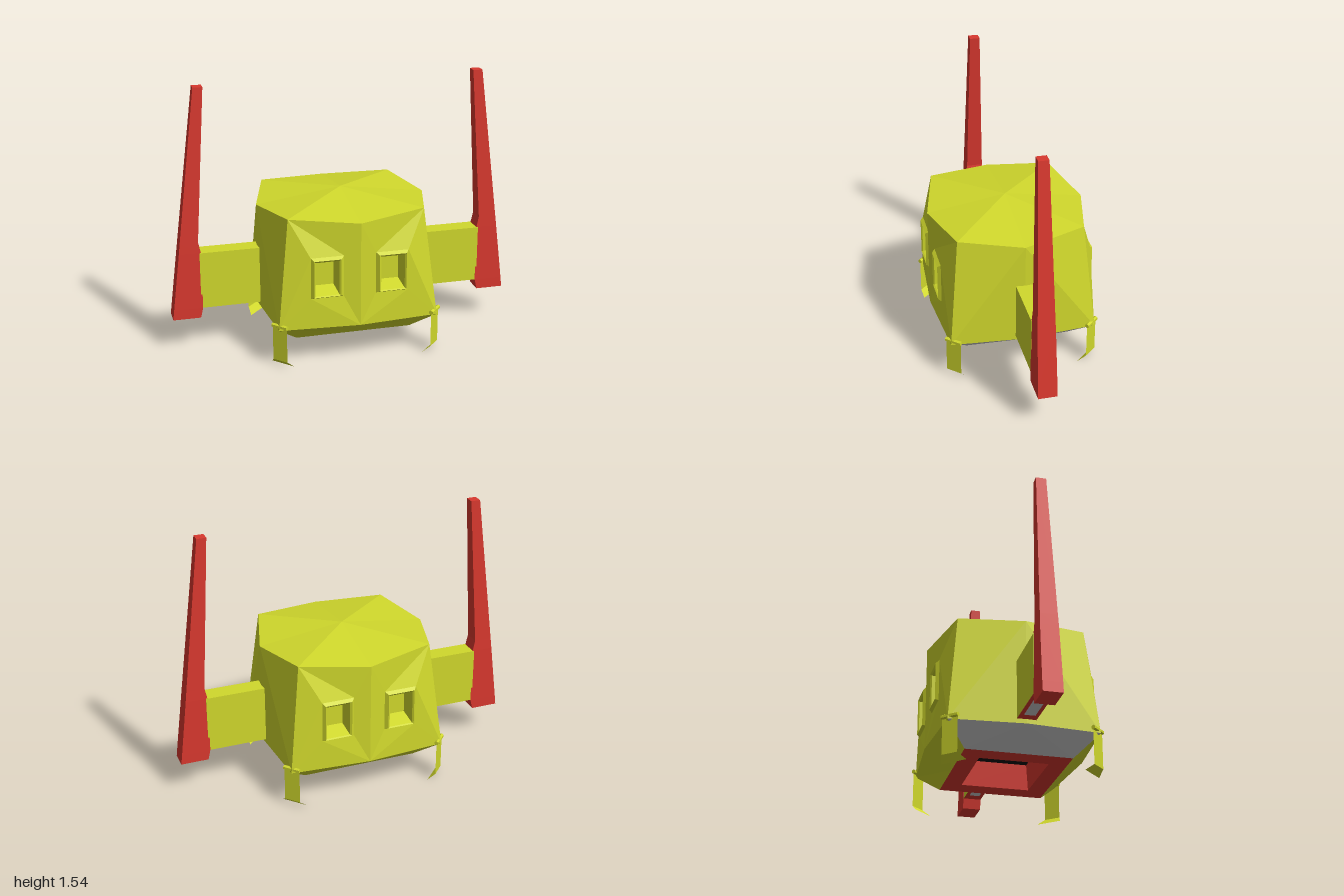
import * as THREE from 'three';
import { mergeGeometries } from 'three/addons/utils/BufferGeometryUtils.js';

const paint = (color) => new THREE.MeshStandardMaterial({ color, flatShading: true, side: THREE.DoubleSide });

// Flat-sided geometry from a list of polygons (each an array of corners)
function polygons(faces) {
  const pos = [];
  for (const f of faces)
    for (let i = 1; i < f.length - 1; i++) pos.push(...f[0], ...f[i], ...f[i + 1]);
  const g = new THREE.BufferGeometry();
  g.setAttribute('position', new THREE.Float32BufferAttribute(pos, 3));
  g.computeVertexNormals();
  return g;
}

// Quads between successive closed loops, with optional end caps
function loft(loops, capStart = false, capEnd = false) {
  const faces = [];
  for (let i = 0; i < loops.length - 1; i++) {
    const a = loops[i], b = loops[i + 1], n = a.length;
    for (let j = 0; j < n; j++) faces.push([a[j], a[(j + 1) % n], b[(j + 1) % n], b[j]]);
  }
  if (capStart) faces.push([...loops[0]].reverse());
  if (capEnd) faces.push(loops[loops.length - 1]);
  return polygons(faces);
}

// Mirrored copy, with the winding put right again
function mirrored(geo, sx, sz) {
  const g = geo.clone().scale(sx, 1, sz);
  if (sx * sz < 0) {
    const p = g.attributes.position;
    for (let i = 0; i < p.count; i += 3) {
      const b = [p.getX(i + 1), p.getY(i + 1), p.getZ(i + 1)];
      p.setXYZ(i + 1, p.getX(i + 2), p.getY(i + 2), p.getZ(i + 2));
      p.setXYZ(i + 2, ...b);
    }
  }
  g.computeVertexNormals();
  return g;
}
const fourWays = (geo) =>
  mergeGeometries([[1, 1], [-1, 1], [1, -1], [-1, -1]].map(([sx, sz]) => mirrored(geo, sx, sz)));

const rectXY = (x0, x1, y0, y1, z) => [[x0, y0, z], [x1, y0, z], [x1, y1, z], [x0, y1, z]];
const rectDown = (x, z, y) => [[x, y, z], [-x, y, z], [-x, y, -z], [x, y, -z]];
const rectUp = (x0, x1, z, y) => [[x1, y, z], [x1, y, -z], [x0, y, -z], [x0, y, z]];

export function createModel() {
  const group = new THREE.Group();
  const yellow = paint(0xd0d82c), red = paint(0xd8382e), grey = paint(0xcccccc), black = paint(0x080808);
  const add = (name, geo, mat) => {
    const m = new THREE.Mesh(geo, mat);
    m.name = name;
    group.add(m);
    return m;
  };

  // Corners of one quarter of the cabin
  const apex = [0, 0.9, 0];
  const topFront = [0, 0.83, 0.455], topCorner = [0.39, 0.855, 0.36], topSide = [0.495, 0.83, 0];
  const lowFront = [0, 0.225, 0.455], lowCorner = [0.46, 0.225, 0.42], lowSide = [0.495, 0.225, 0];

  add('roof', fourWays(polygons([[apex, topFront, topCorner], [apex, topCorner, topSide]])), yellow);
  add('sideWalls', fourWays(polygons([[lowCorner, lowSide, topSide, topCorner]])), yellow);

  // Wall running into a raised window frame and a recessed pane
  add('windowWalls', fourWays(loft([
    [lowFront, lowCorner, topCorner, topFront],
    rectXY(0.092, 0.28, 0.405, 0.645, 0.435),
    rectXY(0.11, 0.265, 0.415, 0.63, 0.453),
    rectXY(0.12, 0.257, 0.42, 0.62, 0.445),
    rectXY(0.132, 0.245, 0.45, 0.61, 0.355),
  ], false, true)), yellow);

  // Tapered underside
  const keelFront = [0, 0.115, 0.3], keelCorner = [0.335, 0.115, 0.3], keelSide = [0.335, 0.115, 0];
  add('lowerHullEnds', fourWays(polygons([[keelFront, keelCorner, lowCorner, lowFront]])), yellow);
  add('lowerHullSides', fourWays(polygons([[keelCorner, keelSide, lowSide, lowCorner]])), grey);

  // Open bay in the bottom
  const bayTop = rectDown(0.2, 0.18, 0.26);
  add('bottomBay', loft([rectDown(0.335, 0.3, 0.115), rectDown(0.22, 0.195, 0.115), bayTop]), red);
  add('bayCeiling', polygons([bayTop]), black);

  // Arms and tapering uprights
  const outer = (y) => 1 - 0.165 * (y - 0.19) / 1.35;
  const sections = [
    [0.19, 0.84, 0.054], [0.25, 0.826, 0.054], [0.585, 0.826, 0.05], [0.65, 0.84, 0.048], [1.54, 0.78, 0.029],
  ];
  const upright = loft(sections.map(([y, inner, z]) => rectUp(inner, outer(y), z, y)), true, true);
  const arm = new THREE.BoxGeometry(0.36, 0.335, 0.106);
  for (const [side, s] of [['left', 1], ['right', -1]]) {
    add(side + 'Arm', arm, [yellow, yellow, yellow, red, yellow, yellow]).position.set(s * 0.655, 0.4175, 0);
    add(side + 'ArmPanel', new THREE.BoxGeometry(0.2, 0.004, 0.06), grey).position.set(s * 0.655, 0.249, 0);
    add(side + 'Upright', mirrored(upright, s, 1), red);
  }

  // Corner legs: a thin diagonal strip with a flared foot turned inward
  const leg = polygons([
    [[0.42, 0.035, 0.44], [0.485, 0.035, 0.37], [0.485, 0.255, 0.37], [0.42, 0.255, 0.44]],
    [[0.375, 0, 0.43], [0.48, 0, 0.32], [0.485, 0.035, 0.37], [0.42, 0.035, 0.44]],
  ]);
  add('legs', fourWays(leg), yellow);

  // Small hinge bars holding the legs
  const hinge = new THREE.CylinderGeometry(0.013, 0.013, 0.1, 6)
    .rotateX(Math.PI / 2).rotateY(-0.75).translate(0.4525, 0.245, 0.405).toNonIndexed();
  add('legHinges', fourWays(hinge), yellow);
  return group;
}
